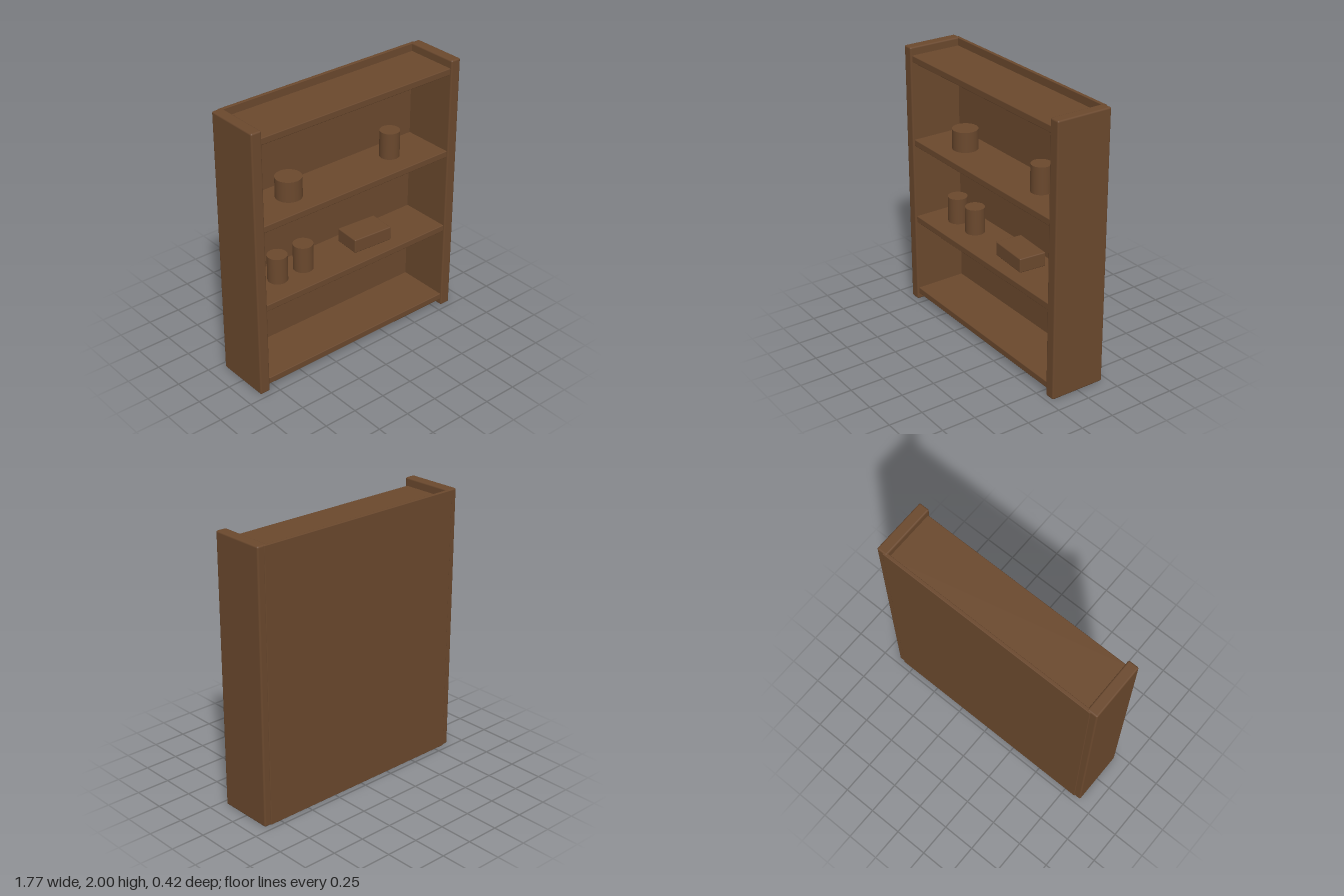
import * as THREE from 'three';
import { RoundedBoxGeometry } from 'three/addons/geometries/RoundedBoxGeometry.js';

export function createModel() {
  const group = new THREE.Group();
  group.name = 'shelfUnit';
  const wood = new THREE.MeshStandardMaterial({ color: 0x6a482d });
  wood.name = 'brown wood';

  const add = (name, geometry, x, y, z) => {
    const mesh = new THREE.Mesh(geometry, wood);
    mesh.name = name;
    mesh.position.set(x, y, z);
    group.add(mesh);
    return mesh;
  };
  const board = (w, h, d, r) => new RoundedBoxGeometry(w, h, d, 2, r);

  // Upright sides
  for (const [name, s] of [['leftSide', 1], ['rightSide', -1]]) {
    add(name, board(0.08, 2, 0.418, 0.012), s * 0.845, 1, 0.003);
  }

  // Back panel, standing slightly proud of the sides
  add('backPanel', board(1.67, 1.995, 0.025, 0.004), 0, 1, -0.1995);

  // Four shelves between the sides
  [0.07, 0.67, 1.28, 1.915].forEach((y, i) => {
    add('shelf' + (i + 1), board(1.63, 0.05, 0.395, 0.006), 0, y, 0.0005);
  });

  // Round pots: [centre x, bottom y, radius, height]
  const pots = [
    [-0.557, 0.706, 0.072, 0.196],
    [-0.335, 0.706, 0.072, 0.196],
    [-0.447, 1.317, 0.094, 0.15],
    [0.442, 1.317, 0.072, 0.198],
  ];
  pots.forEach(([x, y, r, h], i) => {
    add('pot' + (i + 1), new THREE.CylinderGeometry(r, r, h, 24), x, y + h / 2, 0);
  });

  // Small box, turned slightly on its shelf
  const box = add('smallBox', board(0.315, 0.106, 0.205, 0.008), 0.22, 0.758, 0);
  box.rotation.y = -0.07;

  return group;
}
